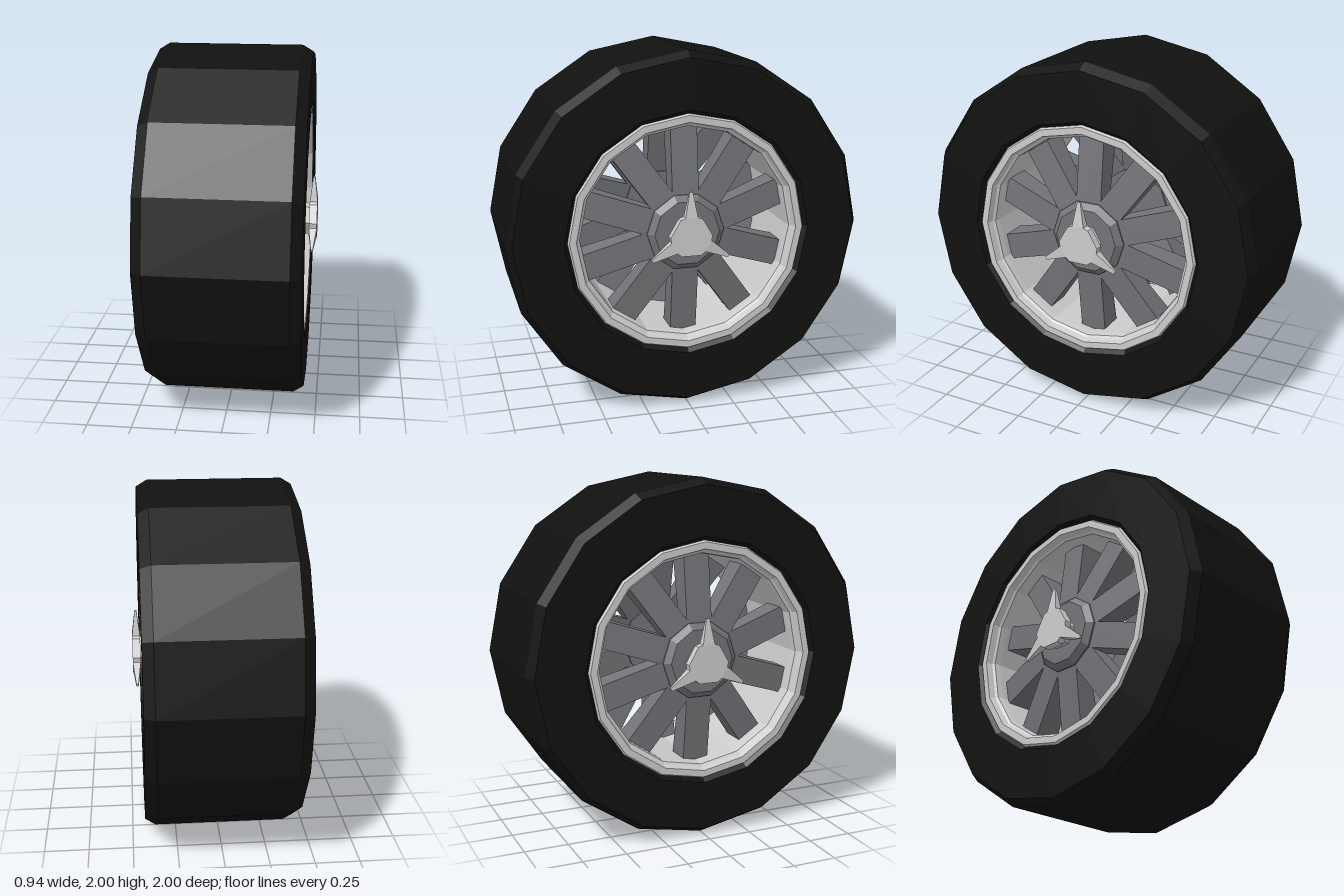
import * as THREE from 'three';

const material = (color) => new THREE.MeshStandardMaterial({ color, flatShading: true });

function addMesh(parent, name, geometry, mat) {
  const mesh = new THREE.Mesh(geometry, mat);
  mesh.name = name;
  parent.add(mesh);
  return mesh;
}

// Closed ring about the x axis from one half of a profile of [radius, x], mirrored in x.
function ring(half, sides) {
  const mirrored = half.map(([r, x]) => [r, -x]).reverse();
  const points = [...mirrored, ...half].map(([r, x]) => new THREE.Vector2(r, x));
  points.push(points[0].clone());
  return new THREE.LatheGeometry(points, sides).rotateZ(-Math.PI / 2);
}

// Ten-sided disc about the x axis.
function disc(rOuter, rInner, x0, x1, sides) {
  return new THREE.CylinderGeometry(rOuter, rInner, x1 - x0, sides)
    .rotateZ(-Math.PI / 2).translate((x0 + x1) / 2, 0, 0);
}

// Wedge spoke: deep at the rim, its face leaning back towards it.
function spokeGeometry() {
  const side = new THREE.Shape([[0.25, 0.14], [0.355, 0.14], [0.3, 0.595], [0.15, 0.595]]
    .map(([x, y]) => new THREE.Vector2(x, y)));
  return new THREE.ExtrudeGeometry(side, { depth: 0.15, bevelEnabled: false }).translate(0, 0, -0.075);
}

// Three-pronged cap nut, with prongs that thin towards the tips.
function spinnerGeometry() {
  const prong = [[0.063, 0.1], [0.035, 0.11], [0.009, 0.25], [-0.009, 0.25], [-0.035, 0.11], [-0.063, 0.1]];
  const outline = [];
  for (let i = 0; i < 3; i++) {
    for (const [x, y] of prong) {
      outline.push(new THREE.Vector2(x, y).rotateAround(new THREE.Vector2(), i * Math.PI * 2 / 3));
    }
  }
  const geometry = new THREE.ExtrudeGeometry(new THREE.Shape(outline), { depth: 0.045, bevelEnabled: false });
  geometry.translate(0, 0, -0.0225);
  const p = geometry.attributes.position;
  for (let i = 0; i < p.count; i++) {
    if (Math.hypot(p.getX(i), p.getY(i)) > 0.2) p.setZ(i, p.getZ(i) * 0.25);
  }
  return geometry.rotateY(Math.PI / 2).translate(0.45, 0, 0);
}

export function createModel() {
  const model = new THREE.Group();
  model.name = 'wheel';
  const wheel = new THREE.Group();
  wheel.name = 'wheelAssembly';
  wheel.position.y = 1;
  model.add(wheel);

  const rubber = material(0x111110);
  const metal = material(0xcccccc);
  const darkMetal = material(0x737478);

  // Tyre with chamfered shoulders, and the rim inside it
  addMesh(wheel, 'tyre', ring([[1, 0.37], [0.965, 0.428], [0.69, 0.428], [0.665, 0.4]], 16), rubber);
  addMesh(wheel, 'rim', ring([[0.67, 0.4], [0.66, 0.42], [0.622, 0.42], [0.61, 0.385], [0.597, 0.375], [0.592, 0.34]], 16), metal);

  // Both faces of the wheel carry the same spokes, hub and spinner
  const spoke = spokeGeometry();
  const spinner = spinnerGeometry();
  for (const name of ['leftFace', 'rightFace']) {
    const face = new THREE.Group();
    face.name = name;
    if (name === 'rightFace') face.rotation.y = Math.PI;
    wheel.add(face);

    for (let i = 0; i < 10; i++) {
      addMesh(face, 'spoke', spoke, darkMetal).rotation.x = i * Math.PI / 5;
    }
    addMesh(face, 'hub', disc(0.22, 0.22, 0.22, 0.355, 10), darkMetal);
    addMesh(face, 'hubBevel', disc(0.185, 0.22, 0.355, 0.385, 10), darkMetal);
    addMesh(face, 'spinnerBoss', disc(0.09, 0.1, 0.38, 0.43, 6), metal);
    addMesh(face, 'spinner', spinner, metal);
  }
  return model;
}
